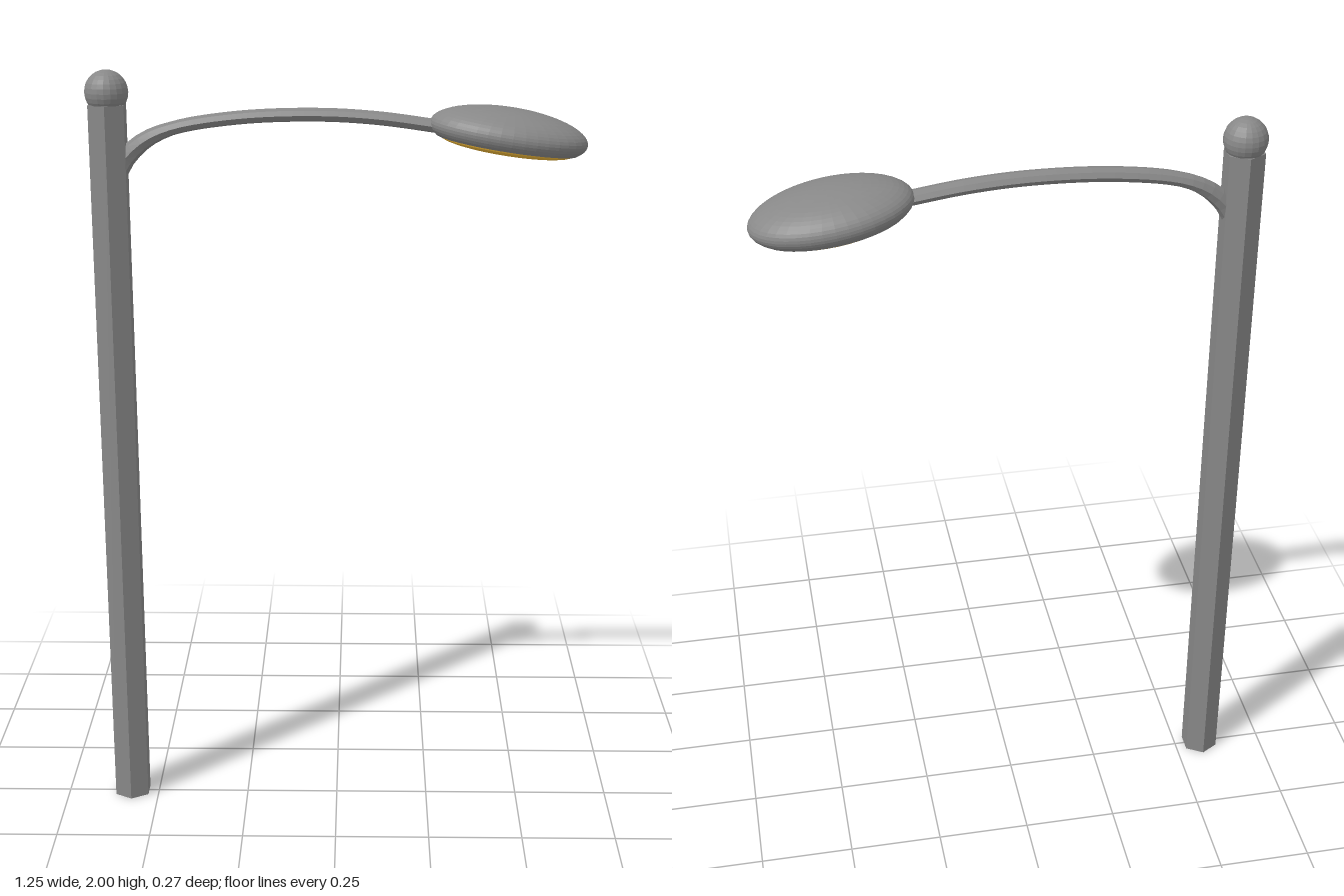
import * as THREE from 'three';

const POLE_X = -0.573;

function material(color) {
  return new THREE.MeshStandardMaterial({ color, flatShading: true });
}

function addPart(parent, name, geometry, mat, x = 0, y = 0) {
  const mesh = new THREE.Mesh(geometry, mat);
  mesh.name = name;
  mesh.position.set(x, y, 0);
  parent.add(mesh);
}

// Curved bracket: a tube squashed within its plane, flaring where it meets the pole
function armGeometry() {
  const path = new THREE.CatmullRomCurve3([
    [-0.56, 1.735], [-0.53, 1.782], [-0.48, 1.826], [-0.41, 1.856],
    [-0.25, 1.882], [-0.055, 1.89], [0.1, 1.882], [0.28, 1.858],
  ].map(([x, y]) => new THREE.Vector3(x, y, 0)));
  const steps = 32, sides = 8;
  const geometry = new THREE.TubeGeometry(path, steps, 0.026, sides);
  const pos = geometry.attributes.position;
  for (let i = 0; i <= steps; i++) {
    const c = path.getPointAt(i / steps);
    const squash = 0.66 + 0.45 * Math.max(0, 1 - i / 7);
    for (let j = 0; j <= sides; j++) {
      const k = i * (sides + 1) + j;
      pos.setXY(k, c.x + (pos.getX(k) - c.x) * squash, c.y + (pos.getY(k) - c.y) * squash);
    }
  }
  geometry.computeVertexNormals();
  return geometry;
}

export function createModel() {
  const model = new THREE.Group();
  model.name = 'streetLamp';
  const grey = material(0x888888);

  // Hexagonal pole with a ball on top
  addPart(model, 'pole', new THREE.CylinderGeometry(0.052, 0.052, 1.915, 6), grey, POLE_X, 0.9575);
  addPart(model, 'ballCap', new THREE.SphereGeometry(0.055, 20, 14), grey, POLE_X, 1.945);

  addPart(model, 'arm', armGeometry(), grey);

  // Tilted lamp head
  const head = new THREE.Group();
  head.name = 'lampHead';
  head.position.set(0.429, 1.844, 0);
  head.rotation.z = -0.15;
  model.add(head);

  // Oval shell cut flat underneath, with a narrow lip around the lens
  const cut = -0.45, lensRadius = 0.85, height = 0.064, steps = 18;
  const start = Math.asin(cut);
  const profile = [new THREE.Vector2(lensRadius - 0.03, cut)];
  for (let i = 0; i <= steps; i++) {
    const a = start + (Math.PI / 2 - start) * i / steps;
    profile.push(new THREE.Vector2(Math.cos(a), Math.sin(a)));
  }
  const shell = new THREE.LatheGeometry(profile, 40).scale(0.2, height, 0.136);
  addPart(head, 'lampShell', shell, grey);

  // Shallow bulging lens
  const lens = new THREE.SphereGeometry(lensRadius, 40, 8, 0, Math.PI * 2, Math.PI / 2, Math.PI / 2)
    .scale(0.2, 0.025, 0.136);
  addPart(head, 'lens', lens, material(0xf0b838), 0, cut * height);

  return model;
}
